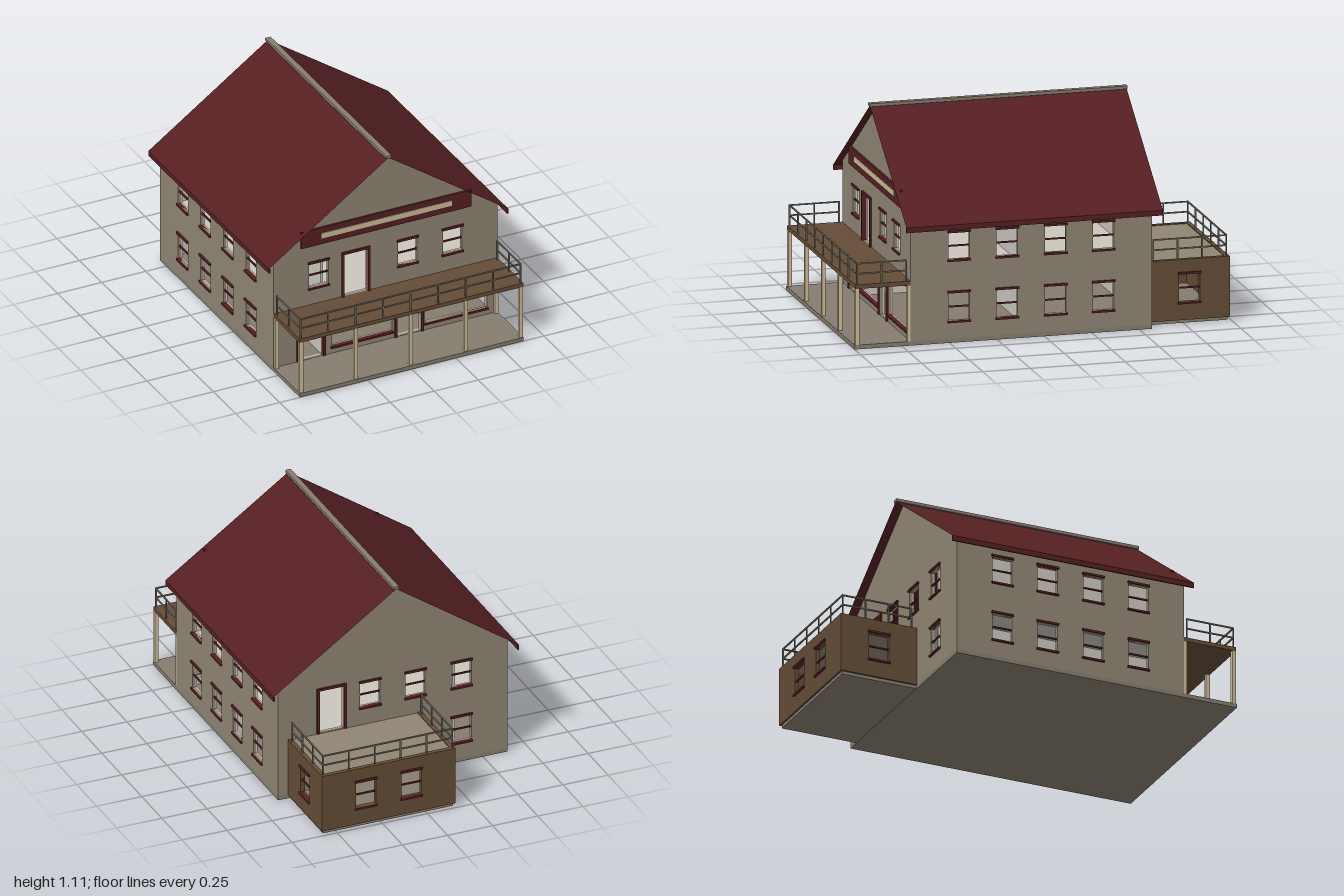
import * as THREE from 'three';

const mat = (name, color, side = THREE.FrontSide) => {
  const m = new THREE.MeshStandardMaterial({ color, side });
  m.name = name;
  return m;
};

export function createModel() {
  const M = {
    wall: mat('wall tan', 0x8f8573),
    red: mat('dark red', 0x561f22, THREE.DoubleSide),
    brown: mat('wood brown', 0x644c36),
    cream: mat('cream', 0xcdbd98),
    inner: mat('interior grey', 0xcac6be),
    stone: mat('stone grey', 0x857d6f),
    rail: mat('rail grey', 0x757063),
  };
  const house = new THREE.Group();
  house.name = 'house';

  const add = (parent, name, geo, material) => {
    const mesh = new THREE.Mesh(geo, material);
    mesh.name = name;
    parent.add(mesh);
    return mesh;
  };
  // Box given by its lower and upper limits on each axis
  const box = (parent, name, material, x0, x1, y0, y1, z0, z1) => {
    const mesh = add(parent, name, new THREE.BoxGeometry(x1 - x0, y1 - y0, z1 - z0), material);
    mesh.position.set((x0 + x1) / 2, (y0 + y1) / 2, (z0 + z1) / 2);
    return mesh;
  };

  // Opening kinds: win = sash window, door = framed doorway, shop = wide display window
  const win = (u, y0, y1) => ({ kind: 'win', u0: u - 0.055, u1: u + 0.055, y0, y1 });
  const door = (u, y0, y1) => ({ kind: 'door', u0: u - 0.068, u1: u + 0.068, y0, y1 });
  const shop = (u0, u1) => ({ kind: 'shop', u0, u1, y0: 0.062, y1: 0.295 });
  const LOW = [0.115, 0.26], HIGH = [0.435, 0.575];

  const trim = (g, o) => {
    const { u0, u1, y0, y1 } = o;
    const bar = (name, a, b, c, d, z0 = -0.015, z1 = 0.01) => box(g, name, M.red, a, b, c, d, z0, z1);
    if (o.kind === 'door') {
      bar('doorJamb', u0 - 0.013, u0, y0, y1 + 0.013);
      bar('doorJamb', u1, u1 + 0.013, y0, y1 + 0.013);
      bar('doorHead', u0, u1, y1, y1 + 0.013);
      return;
    }
    bar('windowLintel', u0 - 0.006, u1 + 0.006, y1, y1 + 0.011);
    bar('windowSill', u0 - 0.006, u1 + 0.006, y0 - 0.01, y0);
    if (o.kind === 'win') {
      const ym = (y0 + y1) / 2;
      bar('windowBar', u0, u1, ym - 0.004, ym + 0.004, -0.012, -0.004);
    }
  };

  const panel = (outline, holes, depth) => {
    const shape = new THREE.Shape(outline.map(([x, y]) => new THREE.Vector2(x, y)));
    for (const { u0, u1, y0, y1 } of holes) {
      shape.holes.push(new THREE.Path([[u0, y0], [u0, y1], [u1, y1], [u1, y0]]
        .map(([x, y]) => new THREE.Vector2(x, y))));
    }
    return new THREE.ExtrudeGeometry(shape, { depth, bevelEnabled: false });
  };
  const outlineOf = (w, y0, h, apex) => {
    const pts = [[-w, y0], [w, y0], [w, h]];
    if (apex) pts.push([0, apex]);
    pts.push([-w, h]);
    return pts;
  };

  // Wall in local coordinates: u sideways, y up, outer face on local z = 0
  const wall = (name, pos, turn, w, h, apex, openings, material, depth, lined) => {
    const g = new THREE.Group();
    g.name = name;
    add(g, name + 'Panel', panel(outlineOf(w, 0.02, h, apex), openings, depth), material)
      .position.z = -depth;
    if (lined) {
      add(g, name + 'Lining', panel(outlineOf(w - 0.018, 0.021, h - 0.016, apex && apex - 0.02), openings, 0.008), M.inner)
        .position.z = -depth - 0.008;
    }
    openings.forEach(o => trim(g, o));
    g.position.set(pos[0], 0, pos[1]);
    g.rotation.y = turn;
    house.add(g);
  };

  // Foundations
  box(house, 'foundation', M.stone, -0.635, 0.635, 0, 0.022, -0.565, 1);
  box(house, 'annexFoundation', M.stone, -0.15, 0.57, 0.003, 0.024, -0.98, -0.566);

  // Main walls
  const W = 0.635, ZF = 0.705, ZB = -0.565, midZ = (ZF + ZB) / 2;
  wall('frontWall', [0, ZF], 0, W, 0.655, 1.095, [
    door(-0.425, 0.024, 0.267), door(0.132, 0.024, 0.267), door(-0.17, 0.337, 0.582),
    win(-0.38, ...HIGH), win(0.125, ...HIGH), win(0.38, ...HIGH),
    shop(-0.305, 0.038), shop(0.225, 0.575),
  ], M.wall, 0.016, true);
  wall('backWall', [0, ZB], Math.PI, W, 0.655, 1.095, [
    win(0.38, ...LOW), win(0.38, ...HIGH), win(0.125, ...HIGH), win(-0.125, ...HIGH),
    door(-0.34, 0.337, 0.582),
  ], M.wall, 0.016, true);
  for (const s of [1, -1]) {
    const openings = [0.45, 0.197, -0.058, -0.31].flatMap(z =>
      [LOW, HIGH].map(r => win(-s * (z - midZ), ...r)));
    wall(s > 0 ? 'leftWall' : 'rightWall', [s * W, midZ], s * Math.PI / 2,
      (ZF - ZB) / 2, 0.655, 0, openings, M.wall, 0.016, true);
  }

  // Interior floor and partitions
  box(house, 'upperFloor', M.inner, -0.61, 0.61, 0.315, 0.33, -0.54, 0.68);
  box(house, 'longPartition', M.inner, -0.355, -0.342, 0.022, 0.8, -0.54, 0.68);
  box(house, 'crossPartition', M.inner, -0.342, 0.61, 0.022, 0.65, 0.05, 0.063);

  // Roof sheets, eaves boards and ridge cap
  const rise = 0.474, run = 0.68;
  for (const s of [1, -1]) {
    const sheet = add(house, 'roofSheet', new THREE.PlaneGeometry(Math.hypot(rise, run), 1.35).rotateX(-Math.PI / 2), M.red);
    sheet.position.set(s * run / 2, 1.101 - rise / 2, 0.065);
    sheet.rotation.z = -s * Math.atan2(rise, run);
    box(house, 'eavesBoard', M.red, s * 0.676 - 0.004, s * 0.676 + 0.004, 0.6, 0.627, -0.61, 0.74);
  }
  box(house, 'ridgeCap', M.stone, -0.015, 0.015, 1.098, 1.114, -0.612, 0.744);

  // Blank sign board
  box(house, 'signBoard', M.red, -0.483, 0.483, 0.68, 0.776, ZF, 0.716);
  box(house, 'signPanel', M.cream, -0.37, 0.37, 0.715, 0.745, 0.716, 0.72);

  // Railing run between two ground points, with posts at the given fractions
  const railing = (name, a, b, fractions) => {
    const g = new THREE.Group();
    g.name = name;
    const r = 0.0035;
    for (const y of [0.392, 0.445]) {
      box(g, 'handrail', M.rail, Math.min(a[0], b[0]) - r, Math.max(a[0], b[0]) + r, y - r, y + r,
        Math.min(a[1], b[1]) - r, Math.max(a[1], b[1]) + r);
    }
    for (const t of fractions) {
      const x = a[0] + (b[0] - a[0]) * t, z = a[1] + (b[1] - a[1]) * t;
      box(g, 'railPost', M.rail, x - r, x + r, 0.333, 0.445, z - r, z + r);
    }
    house.add(g);
  };
  const even = n => Array.from({ length: n + 1 }, (_, i) => i / n);

  // Front porch with balcony
  box(house, 'balconyDeck', M.brown, -W, W, 0.315, 0.337, ZF, 0.995);
  for (let i = -2; i <= 2; i++) {
    const x = i * 0.312;
    box(house, 'porchColumn', M.cream, x - 0.01, x + 0.01, 0.022, 0.315, 0.975, 0.995);
  }
  for (const s of [1, -1]) {
    box(house, 'wallColumn', M.cream, s * 0.624 - 0.01, s * 0.624 + 0.01, 0.022, 0.315, ZF, 0.722);
    railing('balconySideRail', [s * 0.625, 0.725], [s * 0.625, 0.985], even(2));
  }
  railing('balconyFrontRail', [-0.625, 0.985], [0.625, 0.985], even(8));

  // Rear annex with roof terrace
  const AX0 = -0.16, AX1 = 0.58, AZ = -0.99, amx = (AX0 + AX1) / 2, amz = (AZ + ZB) / 2;
  wall('annexBackWall', [amx, AZ], Math.PI, (AX1 - AX0) / 2, 0.337, 0,
    [0.085, 0.337].map(x => win(amx - x, ...LOW)), M.brown, 0.024, false);
  for (const s of [1, -1]) {
    wall('annexSideWall', [s > 0 ? AX1 : AX0, amz], s * Math.PI / 2, (ZB - AZ) / 2, 0.337, 0,
      [win(0, ...LOW)], M.brown, 0.024, false);
    const x = s > 0 ? AX1 - 0.012 : AX0 + 0.012;
    railing('terraceSideRail', [x, -0.59], [x, -0.975], even(3));
  }
  box(house, 'terraceDeck', M.wall, AX0 + 0.024, AX1 - 0.024, 0.315, 0.333, AZ + 0.024, ZB);
  railing('terraceBackRail', [AX0 + 0.012, -0.975], [AX1 - 0.012, -0.975], even(5));

  return house;
}
